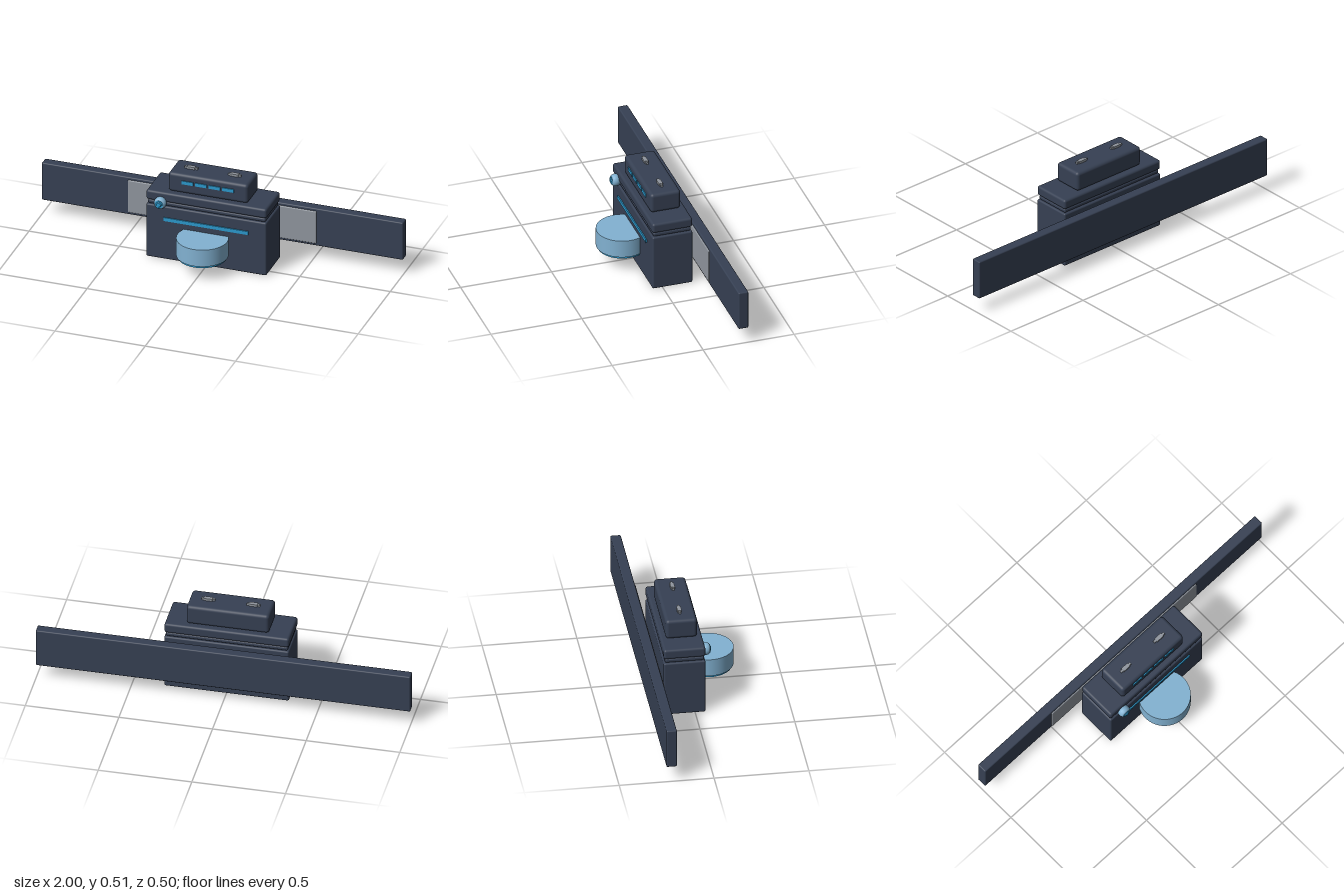
import * as THREE from 'three';
import { RoundedBoxGeometry } from 'three/addons/geometries/RoundedBoxGeometry.js';

const material = (name, color) => {
  const m = new THREE.MeshStandardMaterial({ color });
  m.name = name;
  return m;
};

export function createModel() {
  const navy = material('navy', 0x364053);
  const paleBlue = material('pale blue', 0x82b2d2);
  const brightBlue = material('bright blue', 0x2b98cc);
  const grey = material('grey', 0x90969e);

  const model = new THREE.Group();
  model.name = 'device';

  const add = (name, geometry, mat, x = 0, y = 0, z = 0) => {
    const mesh = new THREE.Mesh(geometry, mat);
    mesh.name = name;
    mesh.position.set(x, y, z);
    model.add(mesh);
    return mesh;
  };
  // Box given by its lower and upper limits; r rounds the edges
  const box = (name, mat, [x0, x1], [y0, y1], [z0, z1], r = 0) => {
    const size = [x1 - x0, y1 - y0, z1 - z0];
    const geometry = r ? new RoundedBoxGeometry(...size, 4, r) : new THREE.BoxGeometry(...size);
    return add(name, geometry, mat, (x0 + x1) / 2, (y0 + y1) / 2, (z0 + z1) / 2);
  };

  // Stacked housing
  box('body', navy, [-0.333, 0.333], [0, 0.31], [-0.165, 0.055], 0.009);
  box('neckBand', navy, [-0.326, 0.326], [0.311, 0.334], [-0.158, 0.048], 0.009);
  box('neckCore', navy, [-0.315, 0.315], [0.3, 0.345], [-0.147, 0.037]);
  box('lid', navy, [-0.333, 0.333], [0.335, 0.39], [-0.165, 0.055], 0.013);
  box('topUnit', navy, [-0.221, 0.221], [0.39, 0.5], [-0.138, 0.028], 0.018);

  // Light strips on the front
  box('bodyStripe', brightBlue, [-0.235, 0.235], [0.227, 0.247], [0.052, 0.061]);
  for (let i = 0; i < 4; i++) {
    const x = (i - 1.5) * 0.075;
    box('topLight', brightBlue, [x - 0.032, x + 0.032], [0.446, 0.465], [0.024, 0.033]);
  }

  // Small tabs on top
  for (const x of [-0.12, 0.12]) {
    box('tabBar', grey, [x - 0.036, x + 0.036], [0.492, 0.511], [-0.06, -0.048]);
    box('tabGrip', grey, [x - 0.022, x + 0.022], [0.492, 0.513], [-0.065, -0.043]);
  }

  // Round tray sunk into the front
  add('tray', new THREE.CylinderGeometry(0.137, 0.137, 0.098, 64), paleBlue, 0, 0.146, 0.113);
  add('trayBase', new THREE.CylinderGeometry(0.129, 0.129, 0.014, 64), brightBlue, 0, 0.092, 0.113);

  // Knob: rounded barrel with a cap
  const barrel = [[0, -0.03], [0.018, -0.028], [0.027, -0.02], [0.032, -0.008], [0.033, 0.002],
    [0.031, 0.012], [0.026, 0.019], [0.022, 0.021], [0, 0.021]];
  const knob = add('knob', new THREE.LatheGeometry(barrel.map(p => new THREE.Vector2(...p)), 32),
    paleBlue, -0.25, 0.335, 0.067);
  knob.rotation.x = Math.PI / 2;
  const ring = add('knobRing', new THREE.CylinderGeometry(0.022, 0.022, 0.006, 32), brightBlue, -0.25, 0.335, 0.087);
  ring.rotation.x = Math.PI / 2;
  const cap = add('knobCap', new THREE.CylinderGeometry(0.011, 0.016, 0.006, 24), brightBlue, -0.25, 0.335, 0.092);
  cap.rotation.x = Math.PI / 2;

  // Long rear bar with its front plate
  box('rearBar', navy, [-1, 1], [0.087, 0.306], [-0.25, -0.195], 0.007);
  box('rearPlate', grey, [-0.522, 0.522], [0.101, 0.291], [-0.205, -0.189], 0.006);

  return model;
}
